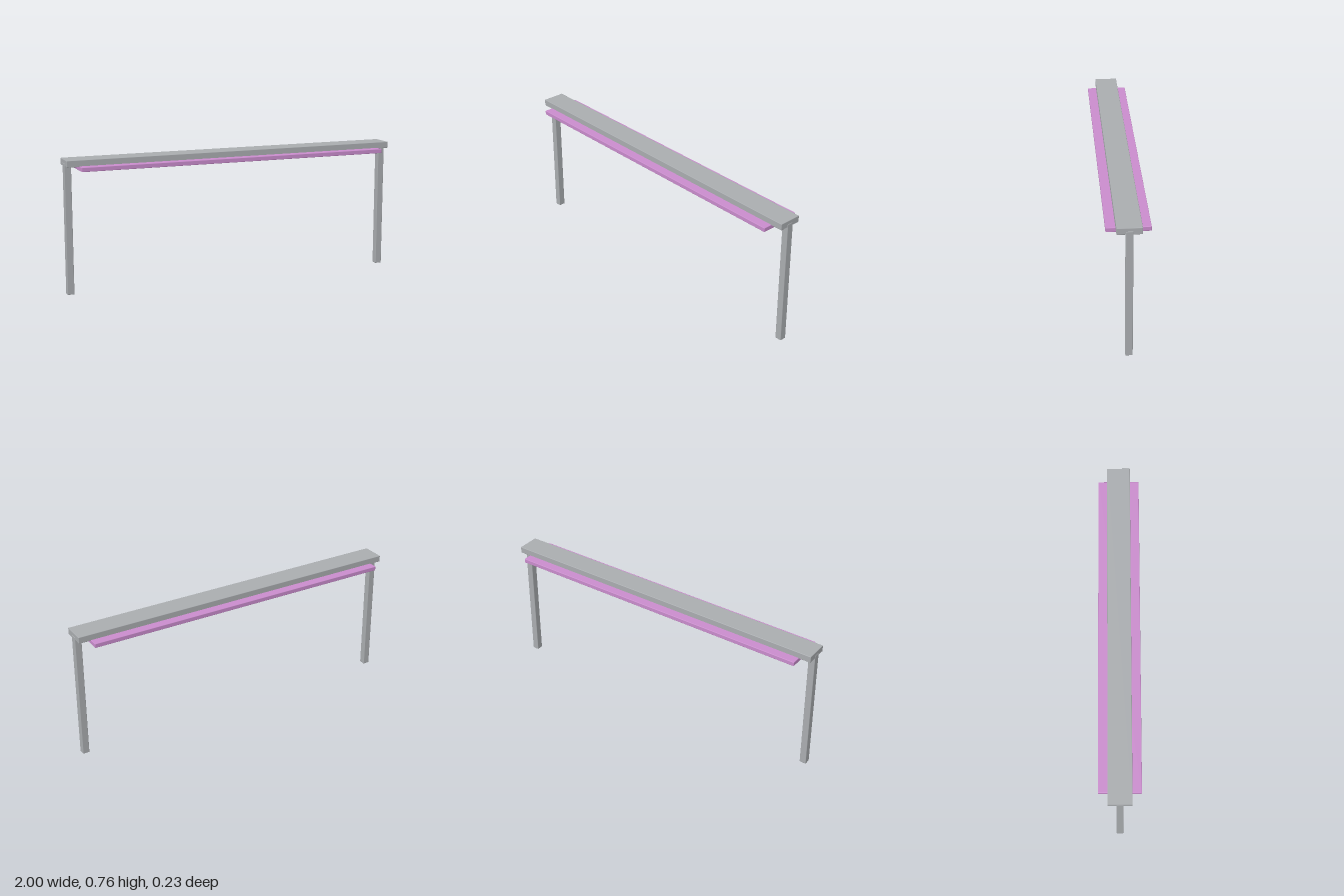
import * as THREE from 'three';
import { RoundedBoxGeometry } from 'three/addons/geometries/RoundedBoxGeometry.js';

export function createModel() {
  const model = new THREE.Group();
  model.name = 'narrowBench';

  const grey = new THREE.MeshStandardMaterial({ color: 0xa9acaf });
  grey.name = 'grey';
  const pink = new THREE.MeshStandardMaterial({ color: 0xc98ccc });
  pink.name = 'pink';

  // Box with softened edges, placed by its bottom height
  function bar(name, material, width, height, depth, x, bottom) {
    const geometry = new RoundedBoxGeometry(width, height, depth, 2, 0.003);
    const mesh = new THREE.Mesh(geometry, material);
    mesh.name = name;
    mesh.position.set(x, bottom + height / 2, 0);
    model.add(mesh);
  }

  // Top beam and the wider panel slung beneath it
  bar('topBeam', grey, 1.996, 0.038, 0.133, 0, 0.727);
  bar('underPanel', pink, 1.856, 0.025, 0.235, 0, 0.706);

  // One post at each end, set into the beam and just proud of its end
  for (const side of [1, -1]) {
    bar(side > 0 ? 'leftLeg' : 'rightLeg', grey, 0.039, 0.745, 0.039, side * 0.9805, 0);
  }

  return model;
}
